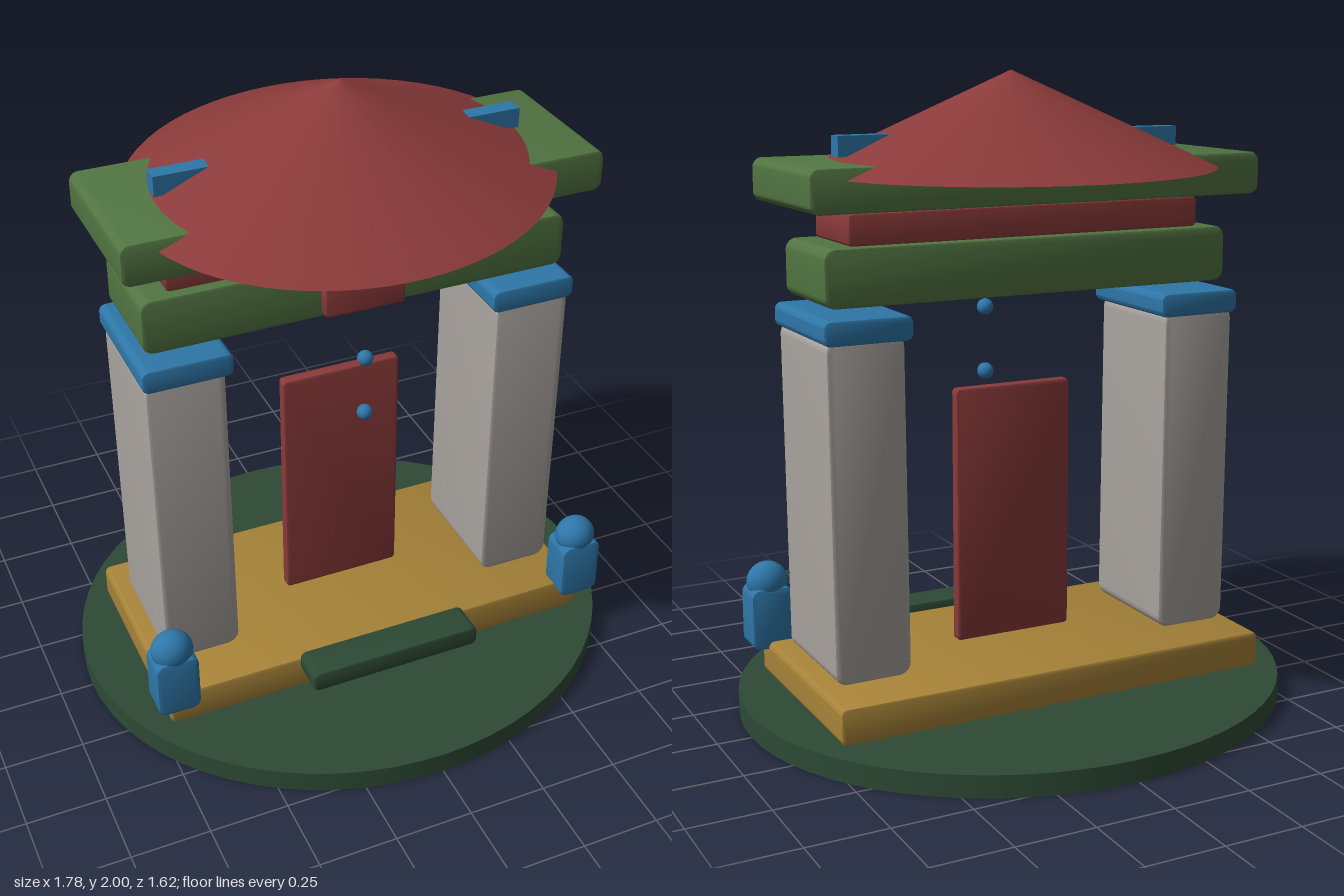
import * as THREE from 'three';
import { toCreasedNormals } from 'three/addons/utils/BufferGeometryUtils.js';

// Block with rounded corners in the front outline and a small bevel front and back.
function roundedBlock(w, h, d, r, bevel = 0.008) {
  const x = w / 2 - bevel, y = h / 2 - bevel;
  const c = Math.max(r - bevel, 0.002);
  const s = new THREE.Shape();
  s.moveTo(-x + c, -y);
  s.lineTo(x - c, -y);
  s.absarc(x - c, -y + c, c, -Math.PI / 2, 0);
  s.lineTo(x, y - c);
  s.absarc(x - c, y - c, c, 0, Math.PI / 2);
  s.lineTo(-x + c, y);
  s.absarc(-x + c, y - c, c, Math.PI / 2, Math.PI);
  s.lineTo(-x, -y + c);
  s.absarc(-x + c, -y + c, c, Math.PI, Math.PI * 1.5);
  const g = new THREE.ExtrudeGeometry(s, {
    depth: d - 2 * bevel, bevelEnabled: true, bevelSize: bevel,
    bevelThickness: bevel, bevelSegments: 2, curveSegments: 6,
  });
  g.translate(0, 0, -d / 2 + bevel);
  return toCreasedNormals(g, 0.6);
}

export function createModel() {
  const model = new THREE.Group();
  const material = (name, color) => {
    const m = new THREE.MeshStandardMaterial({ color });
    m.name = name;
    return m;
  };
  const red = material('red lacquer', 0x8b3a3a);
  const green = material('moss green', 0x527542);
  const darkGreen = material('dark green', 0x2d4a35);
  const gold = material('ochre', 0xa88439);
  const blue = material('blue', 0x2e77a9);
  const stone = material('grey stone', 0xa9a49f);

  const add = (name, geometry, mat, x, y, z, parent = model) => {
    const mesh = new THREE.Mesh(geometry, mat);
    mesh.name = name;
    mesh.position.set(x, y, z);
    parent.add(mesh);
    return mesh;
  };
  // Block given by its width, bottom, top, back and front
  const block = (name, mat, x, w, y0, y1, z0, z1, r, parent) =>
    add(name, roundedBlock(w, y1 - y0, z1 - z0, r), mat, x, (y0 + y1) / 2, (z0 + z1) / 2, parent);

  // Oval ground, platform and step
  const ground = add('ground', new THREE.CylinderGeometry(1, 1, 0.07, 64), darkGreen, 0, 0.035, 0);
  ground.scale.set(0.892, 1, 0.81);
  block('platform', gold, 0, 1.46, 0.07, 0.185, -0.348, 0.348, 0.02);
  block('step', darkGreen, 0, 0.58, 0.14, 0.21, 0.345, 0.465, 0.022);

  // Pillars, leaning very slightly outward, with caps
  for (const side of [-1, 1]) {
    const pillar = block('pillar', stone, side * 0.568, 0.246, 0.195, 1.25, -0.198, 0.198, 0.04);
    pillar.rotation.z = -side * 0.008;
    block('pillarCap', blue, side * 0.566, 0.28, 1.23, 1.305, -0.213, 0.213, 0.022);
  }

  // Beams and plaque
  block('lowerBeam', green, 0, 1.366, 1.33, 1.505, -0.165, 0.165, 0.035);
  block('plaque', red, 0, 0.26, 1.34, 1.455, 0.14, 0.2, 0.014);
  block('middleBeam', red, 0, 1.19, 1.505, 1.6, -0.136, 0.136, 0.014);
  block('upperBeam', green, 0, 1.504, 1.612, 1.743, -0.248, 0.248, 0.03);
  add('ridgeBar', new THREE.BoxGeometry(1.16, 0.062, 0.055), blue, 0, 1.786, 0);

  // Oval cone roof set on the diagonal
  const roof = add('roof', new THREE.ConeGeometry(1, 0.295, 64, 1), red, 0, 1.8525, 0);
  roof.scale.set(0.703, 1, 0.632);
  roof.rotation.y = Math.PI / 4;

  // Door panel and hanging beads
  block('door', red, 0, 0.4, 0.2, 1.025, -0.02, 0.02, 0.014);
  const beadGeometry = new THREE.SphereGeometry(0.026, 20, 14);
  for (const y of [0.858, 1.063, 1.268]) add('bead', beadGeometry, blue, 0.07, y, 0.042);

  // Guardian figures
  for (const side of [-1, 1]) {
    const guardian = new THREE.Group();
    guardian.name = 'guardian';
    guardian.position.set(side * 0.712, 0, 0.342);
    model.add(guardian);
    block('guardianBody', blue, 0, 0.138, 0.16, 0.362, -0.055, 0.055, 0.028, guardian);
    const head = add('guardianHead', new THREE.SphereGeometry(1, 28, 20), blue, 0, 0.375, 0, guardian);
    head.scale.set(0.067, 0.065, 0.059);
  }
  return model;
}
